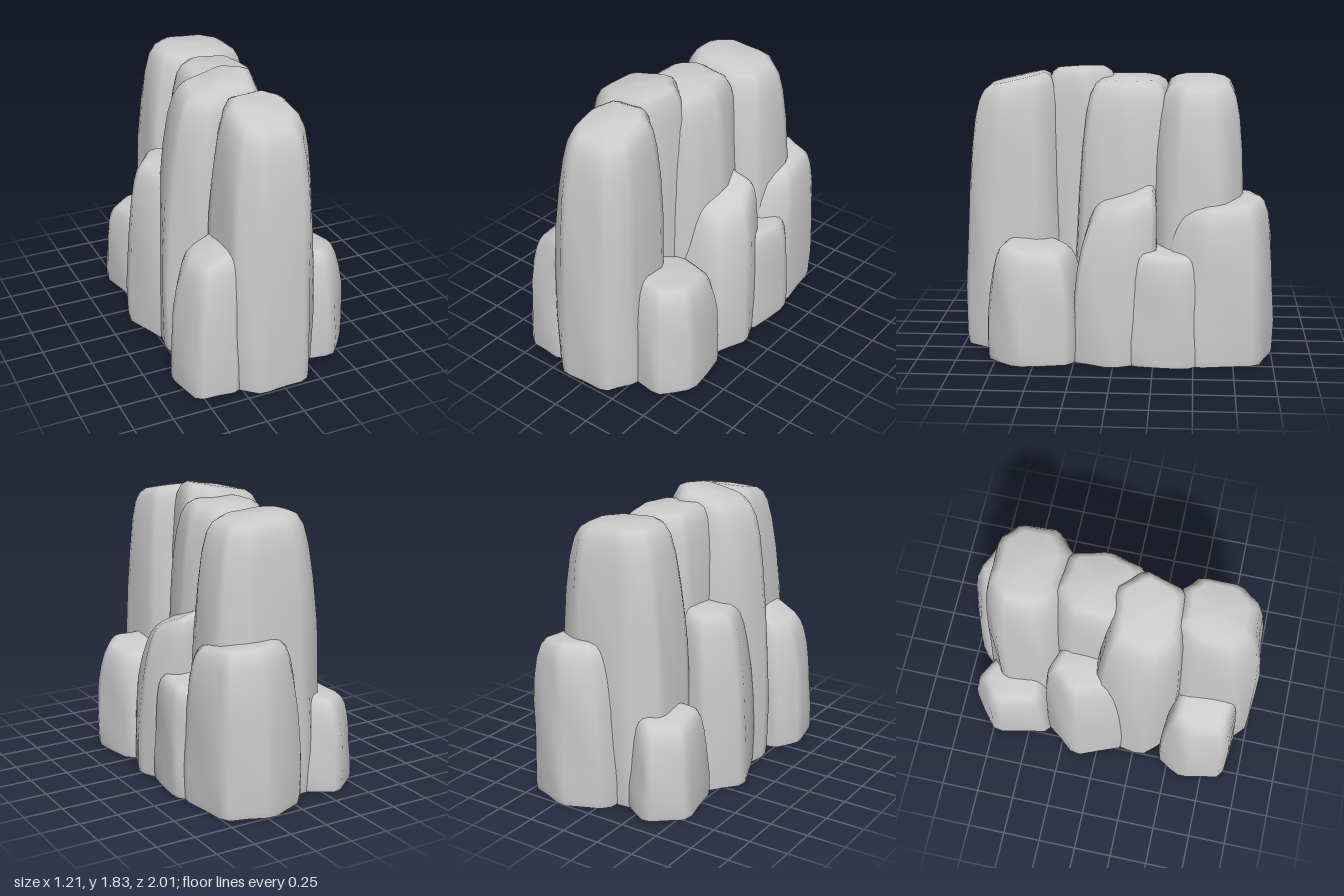
import * as THREE from 'three';

const CROWN_SCALE = 0.79;

// Height fraction and inward rounding of each ring, from foot to crown
const RINGS = [[0, 0.98], [0.04, 1], [0.22, 1.01], [0.42, 1], [0.6, 1.01], [0.76, 1], [0.88, 0.97],
  [0.95, 0.91], [0.985, 0.81], [1, 0.66], [1.005, 0]];

// Footprint with trimmed corners: a squarish polygon, running anticlockwise from above
function wornOutline(rx, rz, sides, turn) {
  const square = (v) => Math.sign(v) * Math.abs(v) ** 0.7;
  const corner = (k) => {
    const a = THREE.MathUtils.degToRad(turn) + (k / sides) * Math.PI * 2;
    return new THREE.Vector2(rx * square(Math.cos(a)), -rz * square(Math.sin(a)));
  };
  const points = [];
  for (let k = 0; k < sides; k++) {
    for (const t of [0.12, 0.5, 0.88]) points.push(corner(k).lerp(corner(k + 1), t));
  }
  return points;
}

// at: footprint centre [x, z]; size: half widths; shift: crown offset; tilt: crown slope
function pillar(name, height, { at, size, sides, turn, shift, tilt }) {
  const outline = wornOutline(...size, sides, turn);
  const n = outline.length;
  const pos = [], index = [];

  RINGS.forEach(([t, round], i) => {
    const lean = Math.min(t, 1) ** 2.3;
    const taper = THREE.MathUtils.lerp(1, CROWN_SCALE, lean) * round;
    outline.forEach((p, j) => {
      // gentle hollows and swells down the sides
      const s = taper * (1.03 + 0.018 * Math.sin(j * 1.7 + t * 7 + height * 9));
      const dx = p.x * s, dz = p.y * s;
      const y = t * (height + (dx * tilt[0] + dz * tilt[1]) * t);
      pos.push(at[0] + shift[0] * lean + dx, y, at[1] + shift[1] * lean + dz);
      if (i < RINGS.length - 1) {
        const a = i * n + j, b = i * n + (j + 1) % n;
        index.push(a, b, a + n, b, b + n, a + n);
      }
    });
  });

  // flat underside with its own vertices, keeping the foot edge sharp
  const foot = pos.length / 3;
  pos.push(...pos.slice(0, n * 3), at[0], 0, at[1]);
  for (let j = 0; j < n; j++) index.push(foot + n, foot + (j + 1) % n, foot + j);

  const geometry = new THREE.BufferGeometry();
  geometry.setAttribute('position', new THREE.Float32BufferAttribute(pos, 3));
  geometry.setIndex(index);
  geometry.computeVertexNormals();
  const mesh = new THREE.Mesh(geometry, new THREE.MeshStandardMaterial({ color: 0xcccccc }));
  mesh.name = name;
  return mesh;
}

export function createModel() {
  const group = new THREE.Group();
  group.name = 'rockFormation';

  // tall central row, front to back
  group.add(
    pillar('frontPillar', 1.74, { at: [-0.025, 0.67], size: [0.305, 0.33], sides: 8, turn: 29, shift: [0.02, -0.03], tilt: [0, -0.23] }),
    pillar('highPillar', 1.79, { at: [-0.16, 0.2], size: [0.36, 0.31], sides: 6, turn: 12, shift: [0.04, 0.04], tilt: [0.2, -0.05] }),
    pillar('middlePillar', 1.75, { at: [0.02, -0.06], size: [0.32, 0.36], sides: 7, turn: 0, shift: [0, -0.02], tilt: [-0.05, 0] }),
    pillar('backPillar', 1.745, { at: [0.045, -0.515], size: [0.39, 0.31], sides: 8, turn: 22.5, shift: [0.01, -0.01], tilt: [-0.08, 0] }),
  );

  // lower rocks on the right flank, front to back
  group.add(
    pillar('frontRightBoulder', 0.91, { at: [-0.39, 0.67], size: [0.215, 0.255], sides: 6, turn: -6, shift: [0.04, 0], tilt: [0.5, 0] }),
    pillar('rightPillar', 1.16, { at: [-0.33, -0.09], size: [0.275, 0.3], sides: 5, turn: 30, shift: [0.03, -0.02], tilt: [0.1, -0.05] }),
    pillar('backRightBoulder', 0.61, { at: [-0.32, -0.61], size: [0.24, 0.29], sides: 5, turn: 21, shift: [0, 0], tilt: [0.15, 0.1] }),
  );

  // lower rocks on the left flank, front to back
  group.add(
    pillar('frontLeftBoulder', 0.73, { at: [0.33, 0.5], size: [0.275, 0.31], sides: 6, turn: -15, shift: [0, 0], tilt: [-0.08, 0.1] }),
    pillar('leftPillar', 1.05, { at: [0.33, 0.01], size: [0.255, 0.28], sides: 6, turn: 0, shift: [-0.02, -0.08], tilt: [-0.3, -0.35] }),
    pillar('leftBoulder', 0.72, { at: [0.35, -0.33], size: [0.24, 0.3], sides: 6, turn: 15, shift: [0.03, 0], tilt: [-0.05, 0.08] }),
    pillar('backLeftBoulder', 1.02, { at: [0.22, -0.64], size: [0.33, 0.365], sides: 7, turn: 38.6, shift: [0.03, -0.03], tilt: [-0.06, -0.12] }),
  );
  return group;
}
